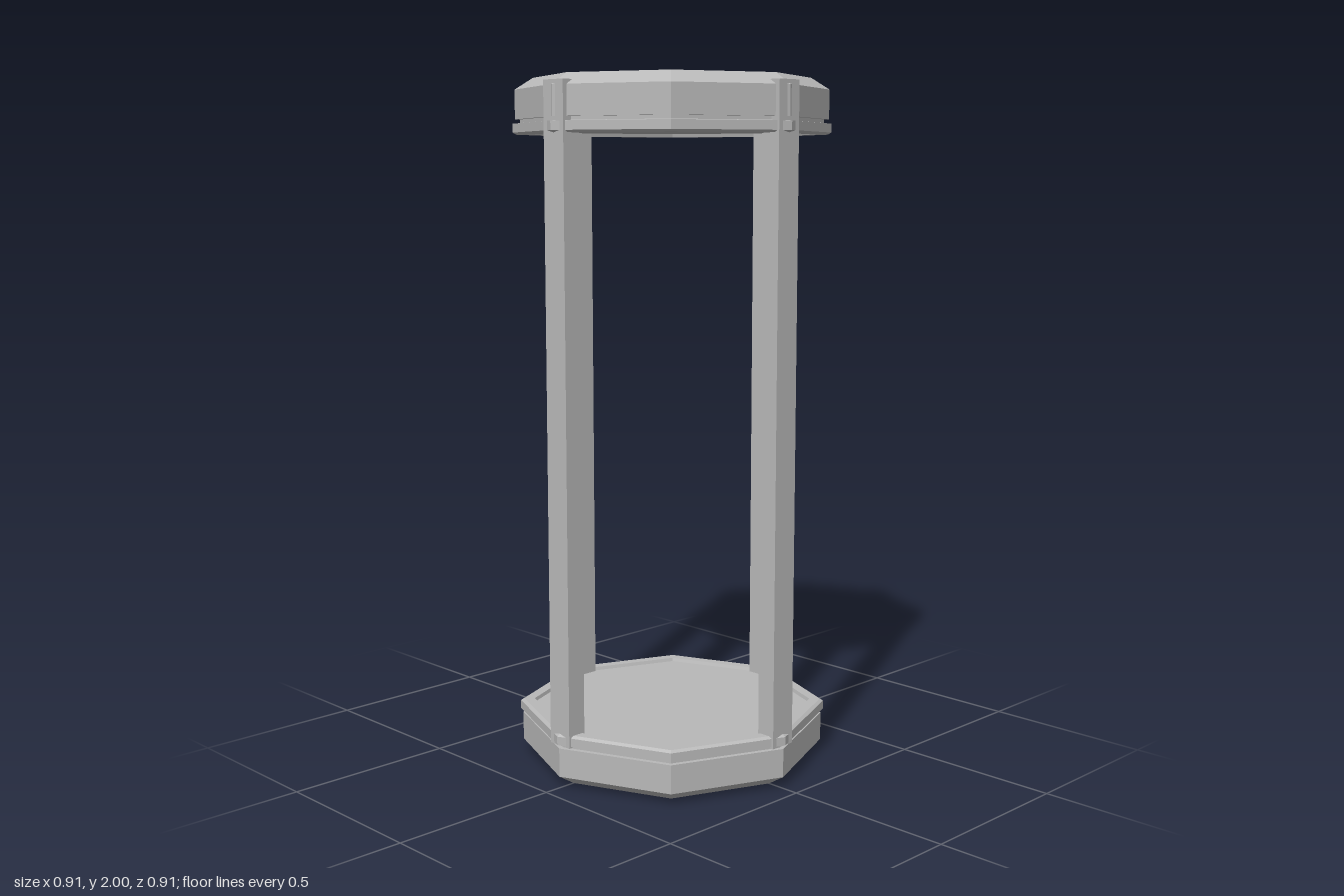
import * as THREE from 'three';

export function createModel() {
  const model = new THREE.Group();
  const grey = new THREE.MeshStandardMaterial({ color: 0xb8b8b8 });
  grey.name = 'plain grey';
  grey.flatShading = true;

  // Octagonal cap: chamfered slab, thin groove, raised rim and recessed floor
  const profile = [
    [0, 0], [0.397, 0], [0.45, 0.033], [0.45, 0.117], [0.435, 0.117],
    [0.435, 0.127], [0.457, 0.129], [0.457, 0.154], [0.447, 0.16],
    [0.415, 0.16], [0.412, 0.15], [0, 0.15],
  ].map(([r, y]) => new THREE.Vector2(r, y));
  const capGeometry = new THREE.LatheGeometry(profile, 8);

  const base = new THREE.Mesh(capGeometry, grey);
  base.name = 'base';
  const top = new THREE.Mesh(capGeometry, grey);
  top.name = 'top';
  top.rotation.x = Math.PI;
  top.position.y = 2;
  model.add(base, top);

  // Four posts at the axis corners, clipped over the edge of the top
  const bottomY = 0.125, topY = 1.98;
  const postGeometry = new THREE.BoxGeometry(0.08, topY - bottomY, 0.057);
  postGeometry.translate(0, (topY + bottomY) / 2, 0.418);
  ['frontPost', 'leftPost', 'backPost', 'rightPost'].forEach((name, i) => {
    const post = new THREE.Mesh(postGeometry, grey);
    post.name = name;
    post.rotation.y = (i * Math.PI) / 2;
    model.add(post);
  });

  return model;
}
